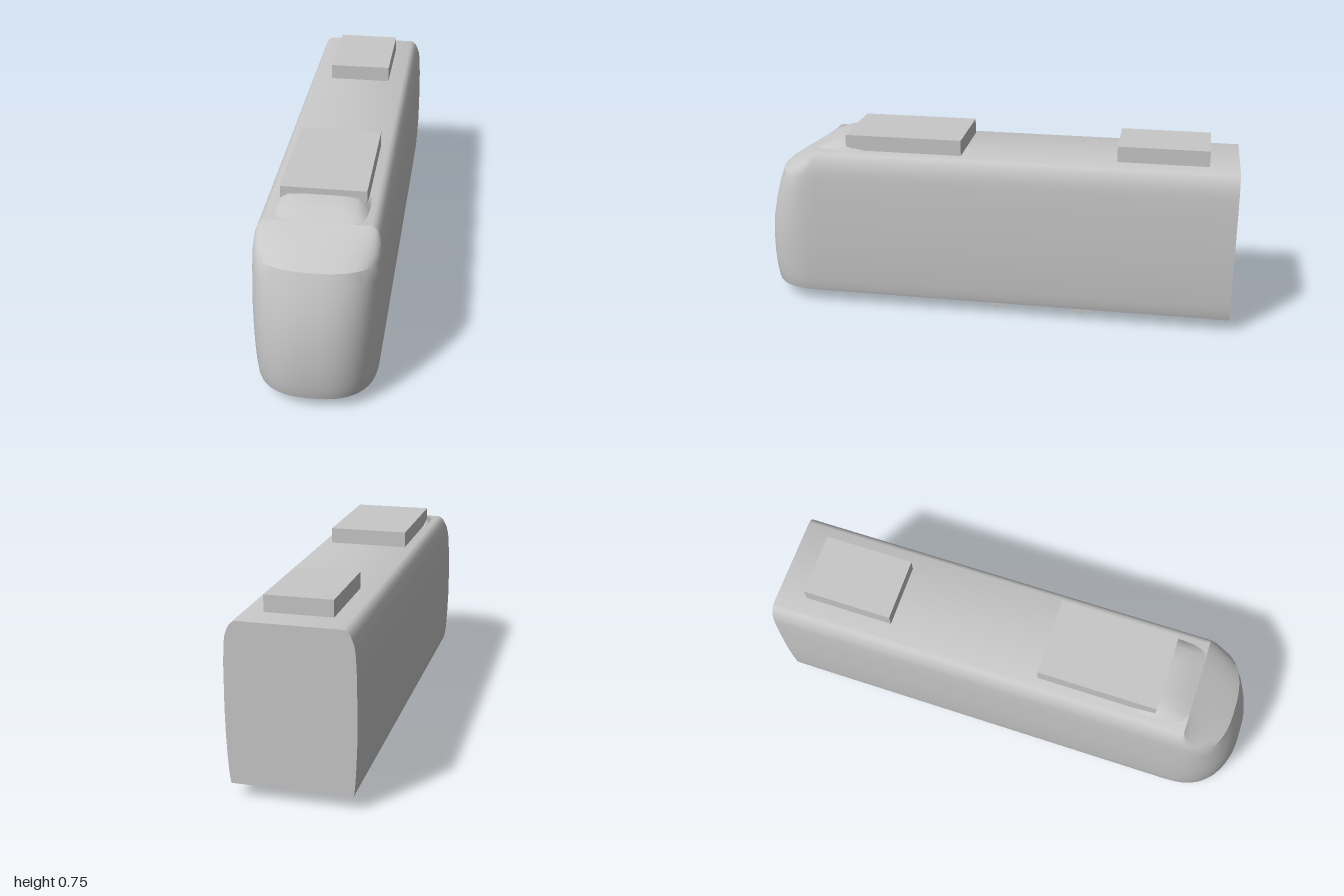
import * as THREE from 'three';
import { toCreasedNormals } from 'three/addons/utils/BufferGeometryUtils.js';

// Body levels: [height, half width, foremost z of the nose]
const LEVELS = [
  [0.055, 0.229, 0.985], [0.07, 0.233, 0.989], [0.11, 0.237, 0.996], [0.18, 0.241, 1.0],
  [0.26, 0.244, 0.999], [0.35, 0.245, 0.99], [0.43, 0.244, 0.973], [0.51, 0.243, 0.95],
  [0.575, 0.24, 0.925], [0.6, 0.238, 0.885], [0.625, 0.234, 0.842], [0.645, 0.227, 0.808],
  [0.662, 0.219, 0.78], [0.674, 0.208, 0.76], [0.68, 0.195, 0.75],
];
const SEAM = 0.75;

// Skins rows of points; each row runs from +x to -x
function loft(rows) {
  const n = rows[0].length, index = [];
  for (let r = 0; r < rows.length - 1; r++) {
    for (let c = 0; c < n - 1; c++) {
      const a = r * n + c, b = a + 1, d = a + n, e = d + 1;
      index.push(a, d, e, a, e, b);
    }
  }
  const geo = new THREE.BufferGeometry();
  geo.setAttribute('position', new THREE.Float32BufferAttribute(rows.flat(2), 3));
  geo.setIndex(index);
  return toCreasedNormals(geo, 0.55);
}

// Rounded plan outline of the nose at one height
function noseRow([y, w, front]) {
  const row = [], steps = 36, p = 2 / 2.5;
  for (let i = 0; i <= steps; i++) {
    const a = (i / steps) * Math.PI, c = Math.cos(a);
    row.push([
      Math.sign(c) * w * Math.abs(c) ** p, y,
      SEAM + (front - SEAM) * Math.abs(Math.sin(a)) ** p,
    ]);
  }
  return row;
}

// Cross-section of the roof fairing
function fairingRow([z, w, h]) {
  return [[1, 0], [0.88, 0.55], [0.74, 0.9], [0.4, 1], [0, 1],
    [-0.4, 1], [-0.74, 0.9], [-0.88, 0.55], [-1, 0]]
    .map(([x, y]) => [x * w, 0.678 + y * h, z]);
}

export function createModel() {
  const group = new THREE.Group();
  const grey = new THREE.MeshStandardMaterial({ color: 0xc8c8c8 });
  grey.name = 'plain grey';

  const add = (name, geo, x = 0, y = 0, z = 0) => {
    const mesh = new THREE.Mesh(geo, grey);
    mesh.name = name;
    mesh.position.set(x, y, z);
    group.add(mesh);
    return mesh;
  };

  // Long body with softly bulging sides and rounded roof edges
  const right = LEVELS.map(([y, w]) => new THREE.Vector2(w, y));
  const left = LEVELS.map(([y, w]) => new THREE.Vector2(-w, y)).reverse();
  const body = new THREE.ExtrudeGeometry(new THREE.Shape([...right, ...left]), {
    depth: SEAM + 1, bevelEnabled: false,
  });
  add('body', toCreasedNormals(body, 0.55), 0, 0, -1);

  // Rounded nose with sloping upper front and closed underside
  add('nose', loft([noseRow([LEVELS[0][0], 0, SEAM]), ...LEVELS.map(noseRow)]));

  // Fairing that leads up to the front roof unit
  const fairing = [
    [0.53, 0.172, 0.002], [0.55, 0.181, 0.012], [0.585, 0.181, 0.022], [0.62, 0.178, 0.042],
    [0.65, 0.177, 0.038], [0.69, 0.174, 0.027], [0.725, 0.166, 0.013], [0.75, 0.15, 0.002],
  ];
  add('roofFairing', loft(fairing.reverse().map(fairingRow)));

  // Roof units
  add('frontRoofUnit', new THREE.BoxGeometry(0.326, 0.067, 0.49), 0, 0.7115, 0.375);
  add('rearRoofUnit', new THREE.BoxGeometry(0.26, 0.067, 0.37), 0, 0.7115, -0.695);

  // Thin wheels half sunk into the floor
  const wheel = new THREE.CylinderGeometry(0.056, 0.056, 0.02, 8);
  wheel.rotateZ(Math.PI / 2);
  for (const z of [-0.015, -0.385]) {
    for (const side of [1, -1]) {
      add(side > 0 ? 'leftWheel' : 'rightWheel', wheel, side * 0.154, 0.056, z);
    }
  }
  return group;
}
